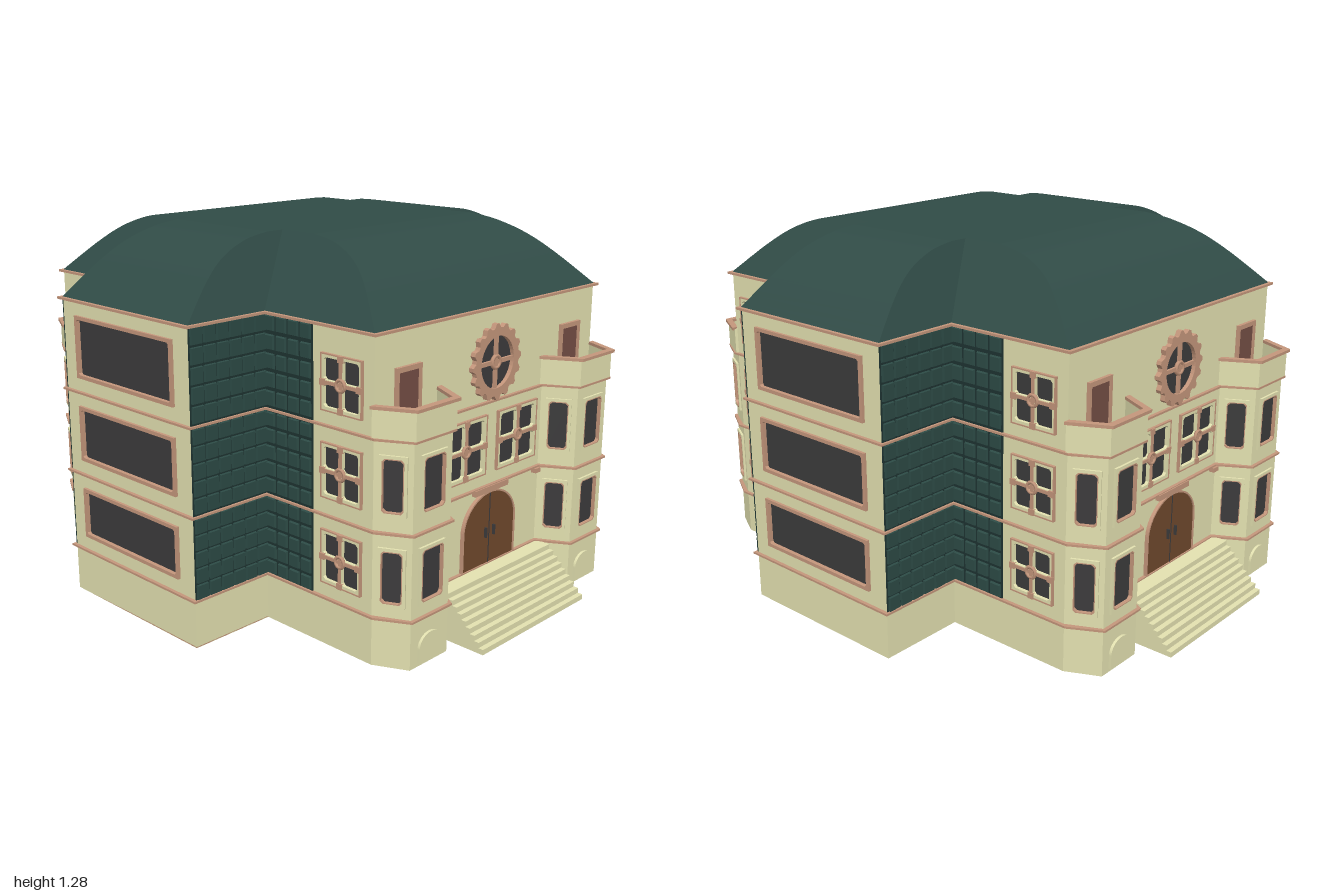
import * as THREE from 'three';
import { mergeGeometries } from 'three/addons/utils/BufferGeometryUtils.js';

const mat = (name, color, side = THREE.FrontSide) => {
  const m = new THREE.MeshStandardMaterial({ color, side });
  m.name = name;
  return m;
};

export function createModel() {
  const cream = mat('cream stone', 0xe3e1b0);
  const trim = mat('copper trim', 0xc4967b);
  const glass = mat('dark glass', 0x3c3b3c, THREE.DoubleSide);
  const roofGreen = mat('roof green', 0x304b46, THREE.DoubleSide);
  const tileGreen = mat('tile green', 0x2c4a45);
  const groutGreen = mat('dark green', 0x1e3331);
  const wood = mat('door wood', 0x6f482c);
  const redWood = mat('red brown wood', 0x744e45);

  const model = new THREE.Group();
  model.name = 'mansion';

  const add = (parent, name, geo, material, x = 0, y = 0, z = 0) => {
    const m = new THREE.Mesh(geo, material);
    m.name = name;
    m.position.set(x, y, z);
    parent.add(m);
    return m;
  };
  const poly = pts => new THREE.Shape(pts.map(p => new THREE.Vector2(p[0], p[1])));
  // rectangle with optional cut corners
  const rect = (cx, cy, w, h, c = 0) => {
    const a = w / 2, b = h / 2;
    const pts = c
      ? [[-a + c, -b], [a - c, -b], [a, -b + c], [a, b - c], [a - c, b], [-a + c, b], [-a, b - c], [-a, -b + c]]
      : [[-a, -b], [a, -b], [a, b], [-a, b]];
    return poly(pts.map(([x, y]) => [x + cx, y + cy]));
  };
  const plate = (shape, holes, depth) => {
    shape.holes.push(...holes);
    return new THREE.ExtrudeGeometry(shape, { depth, bevelEnabled: false, curveSegments: 20 });
  };
  // horizontal slab from plan points [x, z]
  const slab = (pts, holes, h) =>
    plate(poly(pts.map(([x, z]) => [x, -z])), holes.map(q => poly(q.map(([x, z]) => [x, -z]))), h).rotateX(-Math.PI / 2);

  // group whose local x runs from a to b, with local z facing outward
  const facade = (parent, name, a, b) => {
    const g = new THREE.Group();
    g.name = name;
    g.position.set((a[0] + b[0]) / 2, 0, (a[1] + b[1]) / 2);
    g.rotation.y = Math.atan2(a[1] - b[1], b[0] - a[0]);
    g.userData.width = Math.hypot(b[0] - a[0], b[1] - a[1]);
    parent.add(g);
    return g;
  };
  const wall = (g, y0, y1, holes = [], cx = 0, w = g.userData.width) =>
    add(g, 'wall', plate(rect(cx, (y0 + y1) / 2, w, y1 - y0), holes, 0.01), cream, 0, 0, -0.01);

  // windows pass through the wall: each returns the hole to cut
  const pane = (g, x, y, w, h) => add(g, 'windowPane', new THREE.PlaneGeometry(w, h), glass, x, y, -0.004);
  const frame = (g, name, outer, holes, proud, material) =>
    add(g, name, plate(outer, holes, proud * 2 + 0.008), material, 0, 0, -proud - 0.008);
  const wideWindow = (g, x, y, w, h) => {
    pane(g, x, y, w, h);
    frame(g, 'windowFrame', rect(x, y, w + 0.012, h + 0.012), [rect(x, y, w - 0.012, h - 0.012, 0.006)], 0.01, trim);
    return rect(x, y, w, h);
  };
  const bayWindow = (g, x, y, w, h) => {
    pane(g, x, y, w, h);
    frame(g, 'windowSurround', rect(x, y, w + 0.02, h + 0.02), [rect(x, y, w - 0.002, h - 0.002, 0.008)], 0.008, cream);
    frame(g, 'windowBead', rect(x, y, w, h, 0.008), [rect(x, y, w - 0.006, h - 0.006, 0.009)], 0.009, trim);
    return rect(x, y, w, h);
  };
  const crossWindow = (g, x, y, w, h) => {
    pane(g, x, y, w, h);
    const holes = [];
    for (const i of [-1, 1]) for (const j of [-1, 1])
      holes.push(rect(x + i * w * 0.24, y + j * h * 0.24, w * 0.4, h * 0.4, 0.008));
    frame(g, 'windowSurround', rect(x, y, w, h), holes, 0.008, cream);
    frame(g, 'windowEdge', rect(x, y, w + 0.006, h + 0.006), [rect(x, y, w - 0.003, h - 0.003)], 0.01, trim);
    add(g, 'mullion', new THREE.BoxGeometry(0.011, h * 0.94, 0.032), trim, x, y, -0.004);
    add(g, 'transom', new THREE.BoxGeometry(w * 0.94, 0.011, 0.032), trim, x, y, -0.004);
    add(g, 'windowRosette', new THREE.TorusGeometry(0.018, 0.006, 6, 12), trim, x, y, 0.01);
    for (const [i, j] of [[1, 0], [-1, 0], [0, 1], [0, -1]])
      add(g, 'windowKnob', new THREE.BoxGeometry(0.02, 0.02, 0.012), trim, x + i * w * 0.46, y + j * h * 0.46, 0.008);
    return rect(x, y, w, h);
  };

  // green tiled cladding: rows of shallow four-sided studs through a dark sheet
  const floors = [[0.165, 0.44], [0.45, 0.73], [0.74, 1.045]];
  const tiles = (g, cx, w, cols, face) => {
    add(g, 'tileBacking', new THREE.BoxGeometry(w, 0.885, 0.004), groutGreen, cx, 0.6025, 0.002);
    const geos = [];
    for (const [y0, y1] of floors) for (let r = 0; r < 5; r++) for (let c = 0; c < cols; c++) {
      const tw = w / cols, th = (y1 - y0) / 5;
      geos.push(new THREE.CylinderGeometry(face, 0.67, 1, 4, 1).toNonIndexed().rotateY(Math.PI / 4).rotateX(Math.PI / 2)
        .scale(tw * 0.97, th * 0.97, 0.016).translate(cx - w / 2 + (c + 0.5) * tw, y0 + (r + 0.5) * th, 0.004));
    }
    const merged = mergeGeometries(geos);
    merged.computeVertexNormals();
    add(g, 'tiles', merged, tileGreen);
  };

  // plan outlines, front and right half, grown by o
  const half = (o, bays) => [
    [-0.325 - o, 0.575 + o], [-0.325 - o, 0.885 + o], [0.325 + o, 0.885 + o], [0.325 + o, 0.575 + o], [0.79 + o, 0.575 + o],
    ...(bays ? [[0.9 + o, 0.52 + o * 0.5], [0.9 + o, 0.342 - o * 0.5], [0.79 + o, 0.284 - o],
      [0.79 + o, -0.284 + o], [0.9 + o, -0.342 + o * 0.5], [0.9 + o, -0.52 - o * 0.5]] : []),
    [0.79 + o, -0.575 - o]];
  const outline = (o, bays) => [...half(o, bays), ...half(o, bays).map(([x, z]) => [-x, -z])];

  // base walls, string courses and eaves
  const plan = outline(0, true);
  plan.forEach((p, i) => {
    const g = facade(model, 'baseWall', p, plan[(i + 1) % plan.length]);
    add(g, 'basePanel', new THREE.PlaneGeometry(g.userData.width, 0.165), cream, 0, 0.0825, 0);
  });
  for (const y of [0.16, 0.439, 0.73])
    add(model, 'stringCourse', slab(outline(0.012, true), [outline(-0.004, true)], 0.007), trim, 0, y, 0);
  add(model, 'eaves', slab(outline(0.014, false), [outline(-0.01, false)], 0.008), trim, 0, 1.041, 0);
  for (const s of [1, -1])
    add(model, 'wingUnderside', new THREE.BoxGeometry(0.65, 0.004, 0.31), s > 0 ? trim : cream, 0, 0.002, s * 0.73);

  const buildHalf = () => {
    const h = new THREE.Group();
    h.name = 'halfBuilding';

    // projecting wing
    const wing = facade(h, 'wingFront', [-0.325, 0.885], [0.325, 0.885]);
    wall(wing, 0.16, 1.045, [[0.305, 0.165], [0.59, 0.18], [0.89, 0.2]].map(([y, t]) => wideWindow(wing, 0, y, 0.495, t)));
    for (const s of [-1, 1]) {
      const a = [s * 0.325, 0.575], b = [s * 0.325, 0.885];
      const side = facade(h, 'wingSide', s < 0 ? a : b, s < 0 ? b : a);
      tiles(side, 0, 0.31, 6, 0.6);
      // main front beside the wing
      const front = facade(h, 'mainFront', s < 0 ? [-0.79, 0.575] : [0.325, 0.575], s < 0 ? [-0.325, 0.575] : [0.79, 0.575]);
      wall(front, 0.16, 1.045, [0.305, 0.59, 0.87].map(y => crossWindow(front, s * 0.106, y, 0.165, 0.175)), s * 0.1075, 0.25);
      tiles(front, -s * 0.125, 0.215, 4, 0.52);
    }

    // entrance side
    const side = facade(h, 'entranceSide', [0.79, 0.575], [0.79, -0.575]);
    const arch = r => {
      const s = new THREE.Shape();
      s.moveTo(-r, 0.165);
      s.lineTo(r, 0.165);
      s.lineTo(r, 0.3);
      s.absellipse(0, 0.3, r, r - 0.02, 0, Math.PI, false);
      return s;
    };
    wall(side, 0.16, 1.045, [arch(0.139), ...[-0.14, 0.14].map(x => crossWindow(side, x, 0.59, 0.215, 0.2))]);
    add(side, 'doorSurround', plate(arch(0.144), [arch(0.138)], 0.012), trim);
    add(side, 'door', plate(arch(0.139), [], 0.008), wood);
    add(side, 'doorLining', plate(arch(0.139), [], 0.008), redWood, 0, 0, -0.009);
    add(side, 'doorSeam', new THREE.BoxGeometry(0.003, 0.25, 0.002), glass, 0, 0.29, 0.009);
    for (const s of [-1, 1]) add(side, 'doorHandle', new THREE.BoxGeometry(0.006, 0.035, 0.01), glass, s * 0.022, 0.28, 0.012);
    add(side, 'lintel', new THREE.BoxGeometry(0.18, 0.02, 0.016), trim, 0, 0.433, 0.008);
    for (const s of [-1, 1]) {
      add(side, 'lintelBlock', new THREE.BoxGeometry(0.03, 0.016, 0.02), trim, s * 0.26, 0.432, 0.01);
      add(side, 'balconyDoor', new THREE.BoxGeometry(0.095, 0.18, 0.006), redWood, s * 0.43, 0.825, 0.003);
      add(side, 'balconyDoorFrame', plate(rect(s * 0.43, 0.83, 0.115, 0.2), [rect(s * 0.43, 0.825, 0.094, 0.178)], 0.012), trim);
    }

    // toothed round window
    const gear = [];
    for (let i = 0; i < 64; i++) {
      const r = i % 4 < 2 ? 0.128 : 0.114, t = (i / 64) * Math.PI * 2;
      gear.push([r * Math.cos(t), r * Math.sin(t)]);
    }
    const eye = new THREE.Path().absarc(0, 0, 0.087, 0, Math.PI * 2);
    add(side, 'toothedRing', plate(poly(gear), [eye], 0.018), trim, 0, 0.865, 0);
    add(side, 'roundPane', new THREE.CircleGeometry(0.09, 32), glass, 0, 0.865, 0.004);
    for (const w of [0, 1])
      add(side, 'roundSpoke', new THREE.BoxGeometry(w ? 0.175 : 0.014, w ? 0.014 : 0.175, 0.01), trim, 0, 0.865, 0.008);
    add(side, 'roundHub', new THREE.TorusGeometry(0.02, 0.007, 6, 16), trim, 0, 0.865, 0.01);

    // two bays with balconies
    for (const s of [1, -1]) {
      const bay = o => [[0.79, 0.575 + o], [0.9 + o, 0.52 + o * 0.5], [0.9 + o, 0.342 - o * 0.5], [0.79, 0.284 - o]]
        .map(([x, z]) => [x, s * z]);
      const at = (o, i) => (s > 0 ? [bay(o)[i], bay(o)[i + 1]] : [bay(o)[i + 1], bay(o)[i]]);
      for (let i = 0; i < 3; i++) {
        const g = facade(h, 'bayWall', ...at(0, i));
        wall(g, 0.16, 0.73, [0.3, 0.592].map(y => bayWindow(g, 0, y, i === 1 ? 0.1 : 0.068, 0.17)));
        wall(facade(h, 'parapet', ...at(0.01, i)), 0.73, 0.83);
        if (i === 1) {
          const niche = new THREE.Shape();
          niche.moveTo(-0.054, 0.012);
          niche.lineTo(0.054, 0.012);
          niche.lineTo(0.054, 0.06);
          niche.absellipse(0, 0.06, 0.054, 0.045, 0, Math.PI, false);
          add(g, 'baseNiche', plate(niche, [], 0.009), cream);
        }
      }
      add(h, 'bayUnderside', slab(bay(0), [], 0.004), cream);
      add(h, 'balconyFloor', slab(bay(0.008), [], 0.008), cream, 0, 0.736, 0);
      add(h, 'balconyCap', slab([...bay(0.02), ...bay(-0.004).reverse()], [], 0.01), trim, 0, 0.826, 0);
    }

    // entrance steps
    for (let i = 0; i < 9; i++) {
      const x1 = 1 - i * 0.018;
      add(h, 'step', new THREE.BoxGeometry(x1 - 0.79, 0.0181, 0.568), cream, (x1 + 0.79) / 2, 0.009 + i * 0.0181, 0);
    }
    return h;
  };
  const a = buildHalf(), b = buildHalf();
  b.rotation.y = Math.PI;
  model.add(a, b);

  // roof: curved ends, straight sides, flat top
  const curve = new THREE.SplineCurve([[0, 0], [0.115, 0.108], [0.21, 0.174], [0.32, 0.215], [0.42, 0.23]]
    .map(p => new THREE.Vector2(...p)));
  const roof = (name, halfLong, halfShort, inset, turn) => {
    const rings = curve.getPoints(20).map(p => [halfLong - p.x, 1.047 + p.y, halfShort - (inset * p.y) / 0.23]);
    const strip = (f, g) => {
      const pos = [], idx = [];
      rings.forEach((r, i) => {
        pos.push(...f(r), ...g(r));
        const k = i * 2;
        if (i) idx.push(k - 2, k - 1, k + 1, k - 2, k + 1, k);
      });
      const geo = new THREE.BufferGeometry();
      geo.setAttribute('position', new THREE.Float32BufferAttribute(pos, 3));
      geo.setIndex(idx);
      geo.computeVertexNormals();
      return geo;
    };
    const corner = (sx, sz) => ([x, y, z]) => [sx * x, y, sz * z];
    const c = [corner(-1, 1), corner(1, 1), corner(1, -1), corner(-1, -1)];
    const top = rings[rings.length - 1];
    const cap = new THREE.PlaneGeometry(top[0] * 2, top[2] * 2).rotateX(-Math.PI / 2).translate(0, top[1], 0);
    for (const g of [cap, ...c.map((f, i) => strip(f, c[(i + 1) % 4]))])
      add(model, name, g, roofGreen).rotation.y = turn;
  };
  roof('mainRoof', 0.793, 0.578, 0.175, 0);
  roof('wingRoof', 0.888, 0.328, 0.1, Math.PI / 2);

  return model;
}
